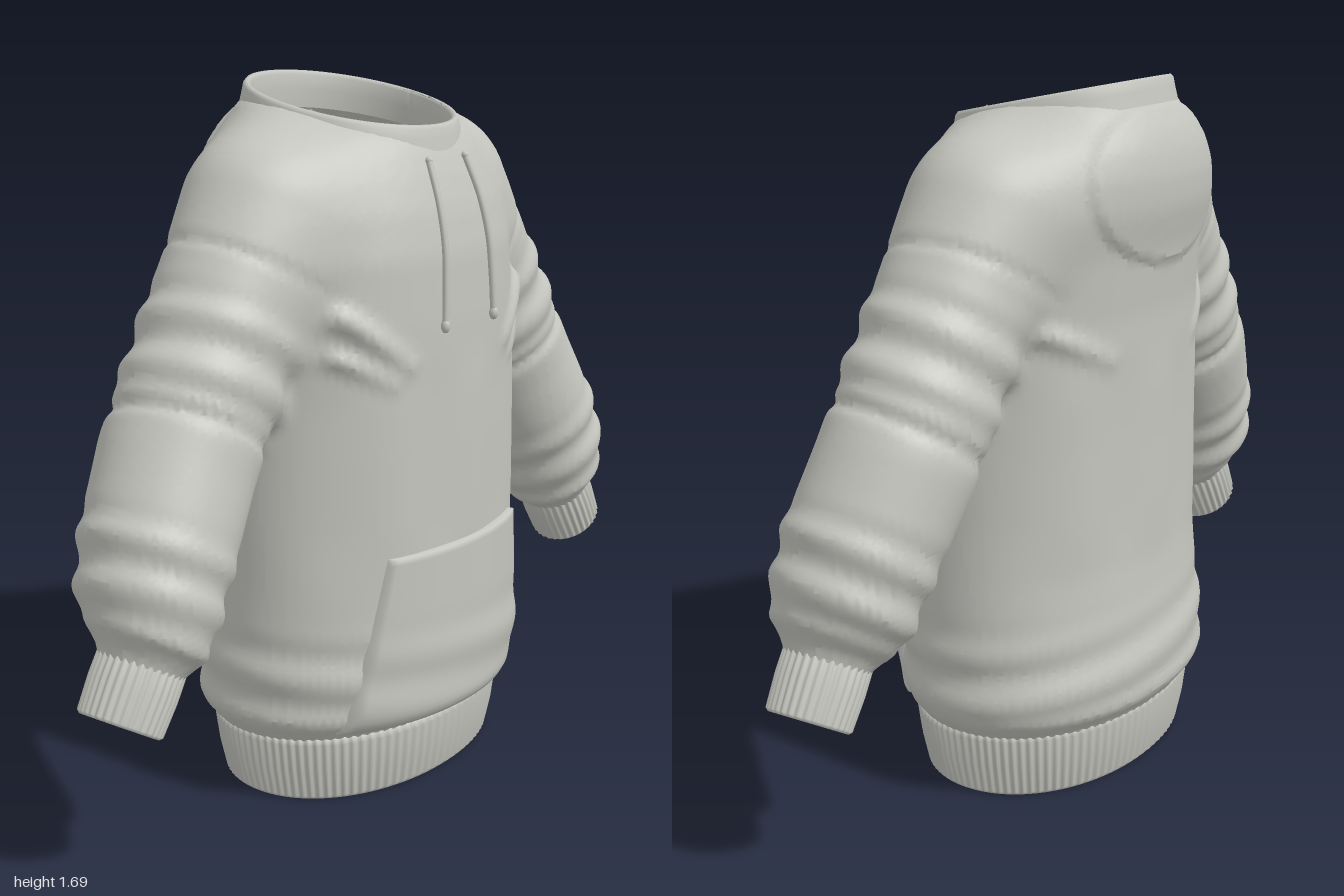
import * as THREE from 'three';

const { sin, cos, abs, min, max, hypot, sign, PI } = Math;
const smooth = (a, b, t) => THREE.MathUtils.smoothstep(t, a, b);

// Torso cross-sections: y, half width, front z, back z
const TORSO = [
  [0.10, 0.40, 0.275, -0.272], [0.16, 0.42, 0.285, -0.285], [0.20, 0.462, 0.32, -0.325], [0.28, 0.468, 0.33, -0.325],
  [0.40, 0.462, 0.328, -0.31], [0.55, 0.455, 0.328, -0.297], [0.85, 0.447, 0.328, -0.295], [1.15, 0.44, 0.325, -0.298],
  [1.30, 0.43, 0.318, -0.312], [1.40, 0.41, 0.297, -0.335], [1.47, 0.385, 0.272, -0.338], [1.53, 0.35, 0.245, -0.328],
  [1.58, 0.30, 0.212, -0.308], [1.64, 0.235, 0.10, -0.265], [1.70, 0.10, -0.05, -0.15], [1.8, 0.02, -0.08, -0.12],
];
// Sleeve sections: distance along the sleeve, axis offset, radius, z radius, z centre
const SLEEVE = [
  [-1.0, 1.03, 0.175, 0.165, -0.02], [-0.75, 1.03, 0.178, 0.178, -0.01], [-0.4, 1.03, 0.178, 0.18, 0.005],
  [-0.2, 1.025, 0.172, 0.176, 0.032], [-0.07, 1.005, 0.155, 0.165, 0.046], [-0.02, 0.99, 0.142, 0.145, 0.055],
  [0.015, 0.98, 0.108, 0.108, 0.06], [0.06, 0.977, 0.086, 0.086, 0.06],
];
const N = 2.1;
const DIR = new THREE.Vector2(0.53, -0.85).normalize();

function lerpRow(table, t) {
  let i = 0;
  while (i < table.length - 2 && t > table[i + 1][0]) i++;
  const a = table[i], b = table[i + 1], f = min(1, max(0, (t - a[0]) / (b[0] - a[0])));
  return a.map((v, j) => v + (b[j] - v) * f);
}
// Densely sampled, softened copy of a section table
function soften(table, w) {
  const t0 = table[0][0], t1 = table.at(-1)[0], rows = [];
  for (let i = 0; i <= 800; i++) {
    const t = t0 + (t1 - t0) * i / 800, m = lerpRow(table, t), a = lerpRow(table, t - w), b = lerpRow(table, t + w);
    rows.push(m.map((v, j) => (a[j] + 2 * v + b[j]) / 4));
  }
  return t => rows[Math.round(800 * min(1, max(0, (t - t0) / (t1 - t0))))];
}
const torsoAt = soften(TORSO, 0.02), sleeveAt = soften(SLEEVE, 0.012);

function torsoFrontZ(x, y) {
  const [, w, zf, zb] = torsoAt(y);
  return (zf + zb) / 2 + (zf - zb) / 2 * max(0, 1 - abs(x / w) ** N) ** (1 / N);
}

// Soft cloth fold along a line from a to b
function fold(x, y, ax, ay, bx, by, w) {
  const dx = bx - ax, dy = by - ay;
  const t = min(1, max(0, ((x - ax) * dx + (y - ay) * dy) / (dx * dx + dy * dy)));
  return Math.exp(-((hypot(x - ax - dx * t, y - ay - dy * t) / w) ** 2)) * (1 - 0.6 * t);
}

function torsoField(x, y, z) {
  const [, w, zf, zb] = torsoAt(y), zc = (zf + zb) / 2, hd = (zf - zb) / 2, ax = abs(x);
  let d = ((abs(x / w) ** N + abs((z - zc) / hd) ** N) ** (1 / N) - 1) * min(w, hd);
  // folds above the hem and soft vertical drape
  d -= 0.005 * sin(y * 48 + x * 5 + z * 3) * smooth(0.19, 0.25, y) * (1 - smooth(0.33, 0.48, y));
  d -= 0.003 * sin(x * 24 + 1) * smooth(0.5, 0.7, y) * (1 - smooth(0.95, 1.1, y));
  if (z > 0) {
    d -= 0.022 * fold(ax, y, 0.35, 1.18, 0.2, 1.06, 0.025) + 0.014 * fold(ax, y, 0.36, 1.09, 0.24, 1.02, 0.02);
  } else {
    d -= 0.016 * fold(ax, y, 0.36, 1.14, 0.2, 1.06, 0.024);
    // rounded yoke patch behind the neck
    d -= 0.01 * (1 - smooth(0.93, 1.0, hypot(x / 0.29, (y - 1.45) / 0.19)));
  }
  return d;
}

const along = (x, y) => abs(x) * DIR.x + y * DIR.y;
function sleeveField(x, y, z) {
  const s = along(x, y), n = -abs(x) * DIR.y + y * DIR.x;
  const [, c, r, rz, zc] = sleeveAt(s);
  const over = max(0, -1.0 - s) / r;
  let d = (hypot((n - c) / r, (z - zc) / rz, over) - 1) * min(r, rz);
  // gathered rings, elbow crease and armhole seam
  const tilt = s + 0.12 * (z - zc);
  d -= 0.008 * sin(tilt * 52) * smooth(-0.8, -0.7, s) * (1 - smooth(-0.56, -0.5, s));
  d -= 0.007 * sin(tilt * 60 + 1) * smooth(-0.3, -0.18, s) * (1 - smooth(-0.04, 0, s));
  d += 0.012 * Math.exp(-(((tilt + 0.48) / 0.016) ** 2)) + 0.007 * Math.exp(-(((s + 0.86) / 0.012) ** 2));
  return d;
}
function clothField(x, y, z) {
  const a = torsoField(x, y, z), b = sleeveField(x, y, z);
  const k = 0.04 + 0.09 * smooth(1.0, 1.4, y), h = max(0, k - abs(a - b)) / k;
  return min(a, b) - h * h * k / 4;
}

// Seamless cloth shell around torso and sleeves, open at neck, hem and cuffs
function clothGeometry() {
  const h = 0.016, lo = [-1.04, 0.135, -0.4], nx = 131, ny = 102, nz = 51;
  const val = new Float32Array(nx * ny * nz), cell = new Int32Array(nx * ny * nz).fill(-1);
  const id = (i, j, k) => (k * ny + j) * nx + i, pos = [], index = [], cut = [];
  for (let k = 0; k < nz; k++) for (let j = 0; j < ny; j++) for (let i = 0; i < nx; i++)
    val[id(i, j, k)] = clothField(lo[0] + i * h, lo[1] + j * h, lo[2] + k * h);
  for (let k = 0; k < nz - 1; k++) for (let j = 0; j < ny - 1; j++) for (let i = 0; i < nx - 1; i++) {
    let inside = 0;
    for (let c = 0; c < 8; c++) inside += val[id(i + (c & 1), j + (c >> 1 & 1), k + (c >> 2))] < 0 ? 1 : 0;
    if (inside === 0 || inside === 8) continue;
    const p = [lo[0] + (i + 0.5) * h, lo[1] + (j + 0.5) * h, lo[2] + (k + 0.5) * h], q = [...p];
    for (let step = 0; step < 4; step++) {
      const e = 0.003, f = clothField(...p);
      const g = [0, 1, 2].map(a => {
        const u = [...p], v = [...p];
        u[a] += e; v[a] -= e;
        return (clothField(...u) - clothField(...v)) / (2 * e);
      });
      const gg = max(0.05, g[0] ** 2 + g[1] ** 2 + g[2] ** 2);
      for (let a = 0; a < 3; a++) p[a] = min(q[a] + h * 0.8, max(q[a] - h * 0.8, p[a] - f * g[a] / gg));
    }
    const r = hypot(p[0], p[2] + 0.02), neck = p[1] > 1.45 && r < 0.24;
    if (neck && r > 0.15) { p[0] *= 0.24 / r; p[2] = (p[2] + 0.02) * 0.24 / r - 0.02; }
    cell[id(i, j, k)] = pos.length / 3;
    pos.push(...p);
    cut.push(neck || (abs(p[0]) > 0.6 && along(p[0], p[1]) > 0.045));
  }
  const step = [1, nx, nx * ny];
  for (let k = 1; k < nz - 1; k++) for (let j = 1; j < ny - 1; j++) for (let i = 1; i < nx - 1; i++) {
    const o = id(i, j, k);
    for (let a = 0; a < 3; a++) {
      if ((val[o] < 0) === (val[o + step[a]] < 0)) continue;
      const u = step[(a + 1) % 3], v = step[(a + 2) % 3];
      const q = [cell[o - u - v], cell[o - v], cell[o], cell[o - u]];
      if (q.some(c => c < 0) || q.every(c => cut[c])) continue;
      if (val[o] >= 0) q.reverse();
      index.push(q[0], q[1], q[2], q[0], q[2], q[3]);
    }
  }
  return meshData(pos, index);
}

function meshData(pos, index) {
  const g = new THREE.BufferGeometry();
  g.setAttribute('position', new THREE.Float32BufferAttribute(pos, 3));
  g.setIndex(index);
  g.computeVertexNormals();
  return g;
}
// Grid of rows by columns; point(column fraction, row number) returns [x, y, z]
function sheet(cols, rows, point) {
  const pos = [], index = [];
  for (let r = 0; r < rows; r++) for (let c = 0; c <= cols; c++) pos.push(...point(c / cols, r));
  for (let r = 0; r < rows - 1; r++) for (let c = 0; c < cols; c++) {
    const a = r * (cols + 1) + c, b = a + cols + 1;
    index.push(a, a + 1, b, a + 1, b + 1, b);
  }
  return meshData(pos, index);
}

export function createModel() {
  const model = new THREE.Group();
  const cloth = new THREE.MeshStandardMaterial({ color: 0xc4c5be, side: THREE.DoubleSide });
  cloth.name = 'grey cloth';
  const add = (name, geometry, parent = model) => {
    const m = new THREE.Mesh(geometry, cloth);
    m.name = name;
    parent.add(m);
    return m;
  };
  add('bodyAndSleeves', clothGeometry());

  // Ribbed hem band: y, inset from the outer line, rib strength
  const hem = [[0.15, 0.018, 0], [0.008, 0.018, 0], [0, 0.012, 0], [0, 0.004, 0], [0.008, 0, 1], [0.08, -0.003, 1], [0.15, 0, 1], [0.168, 0.008, 1], [0.172, 0.03, 0]];
  add('hemBand', sheet(480, hem.length, (u, r) => {
    const [y, inset, rib] = hem[r], t = -u * PI * 2, f = y / 0.17;
    const d = rib * 0.003 * sin(u * PI * 2 * 96) - inset;
    const px = sign(cos(t)) * abs(cos(t)) ** (2 / N), pz = sign(sin(t)) * abs(sin(t)) ** (2 / N);
    return [px * (0.4 + 0.032 * f + d), y, pz * (0.27 + 0.028 * f + d) + 0.003];
  }));

  // Neck band, higher at the back
  const collar = [[0.268, -0.06], [0.26, -0.025], [0.256, -0.005], [0.25, 0.003], [0.243, 0.003], [0.237, -0.005], [0.235, -0.04], [0.238, -0.085]];
  add('neckBand', sheet(96, collar.length, (u, r) => {
    const [rad, dy] = collar[r], t = -u * PI * 2, z = rad * sin(t) - 0.02;
    return [rad * cos(t), 1.628 - 0.207 * z + dy, z];
  }));

  // Ribbed cuffs: distance along the arm, radius, rib strength
  const cuff = [[0, 0.085, 0], [0.004, 0.098, 1], [0.08, 0.099, 1], [0.158, 0.095, 1], [0.165, 0.09, 0], [0.165, 0.084, 0], [0.158, 0.08, 0], [0.02, 0.082, 0]];
  for (const side of [1, -1]) {
    const m = add(side > 0 ? 'leftCuff' : 'rightCuff', sheet(160, cuff.length, (u, r) => {
      const [d, rad, rib] = cuff[r], t = u * PI * 2, q = rad + rib * 0.0025 * sin(t * 32);
      return [q * cos(t), -d, q * sin(t)];
    }));
    m.position.set(side * 0.832, 0.512, 0.06);
    m.rotation.z = side * Math.atan2(DIR.x, -DIR.y);
    // Drawstrings resting on the chest
    const path = [0, 0.25, 0.5, 0.75, 1].map(t => {
      const x = side * (0.073 + 0.027 * t ** 0.7), y = 1.51 - 0.37 * t;
      return new THREE.Vector3(x, y, torsoFrontZ(x, y) + 0.009);
    });
    const cord = new THREE.Group();
    cord.name = side > 0 ? 'leftDrawstring' : 'rightDrawstring';
    model.add(cord);
    add('cord', new THREE.TubeGeometry(new THREE.CatmullRomCurve3(path), 32, 0.008, 8), cord);
    add('cordTop', new THREE.SphereGeometry(0.009, 10, 8), cord).position.copy(path[0]);
    const tip = add('cordTip', new THREE.SphereGeometry(0.011, 12, 8), cord);
    tip.position.copy(path[4]);
    tip.scale.y = 1.5;
  }

  // Front pouch pocket, following the belly with stepped edges
  const cols = 40, rows = 31;
  add('pouchPocket', sheet(cols, rows, (u, r) => {
    const c = Math.round(u * cols), edge = c === 0 || c === cols || r === 0 || r === rows - 1;
    const s = (min(cols - 1, max(1, c)) - 1) / (cols - 2) * 2 - 1, v = (min(rows - 2, max(1, r)) - 1) / (rows - 3);
    const y = 0.185 + 0.425 * v, x = s * (0.348 - 0.093 * v);
    const sag = 0.005 * sin(y * 40 + x * 5) * (1 - smooth(0.3, 0.48, y));
    return [x, y, torsoFrontZ(x, y) + (edge ? -0.012 : 0.018 + sag)];
  }));
  return model;
}
